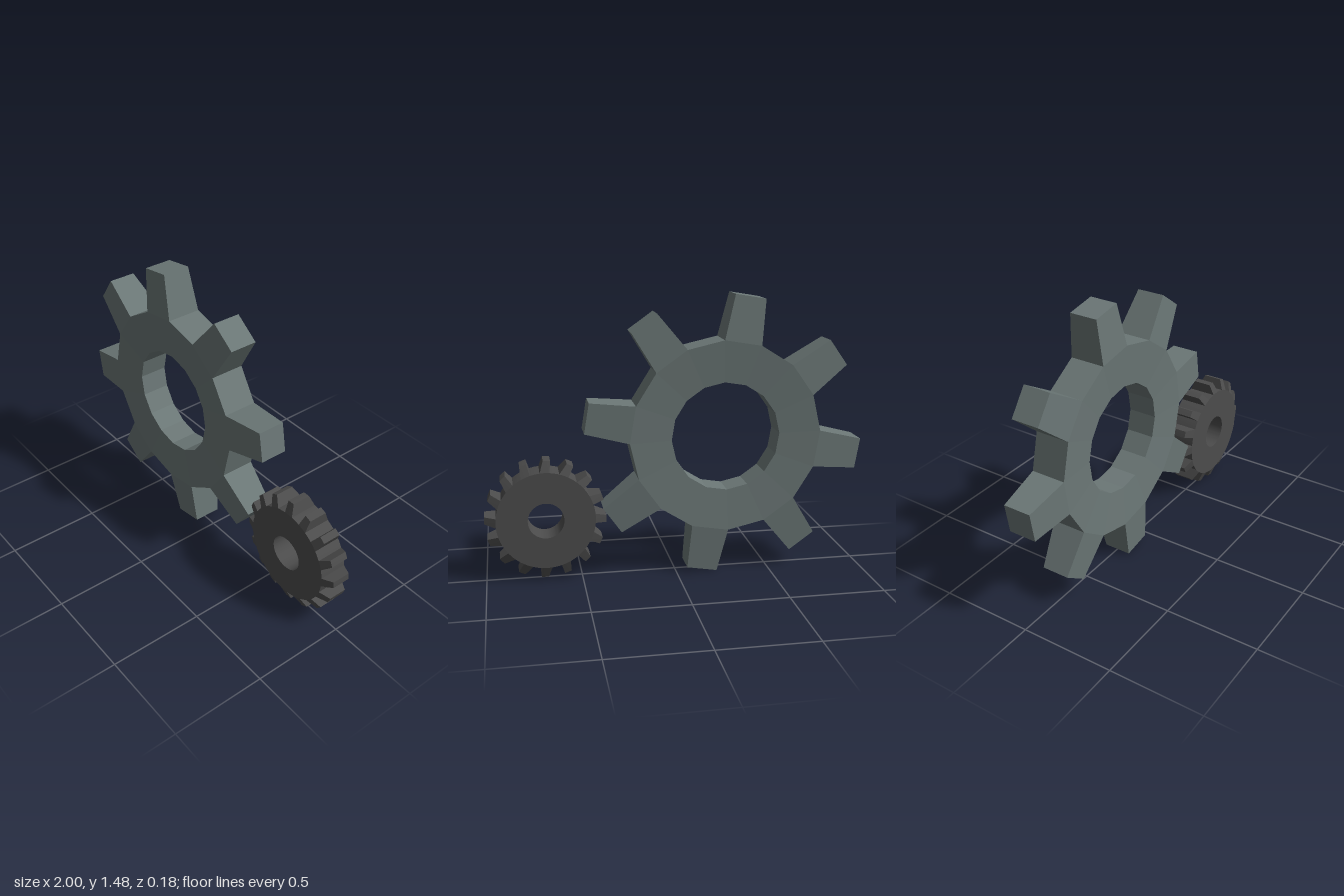
import * as THREE from 'three';
import { toCreasedNormals } from 'three/addons/utils/BufferGeometryUtils.js';

const RAD = Math.PI / 180;

// Ring with a bore and tapered teeth; each tooth takes half a pitch at its root.
// hole, root, tip are [radius, half depth]; angles are in degrees.
function gearGeometry({ teeth, phase, hole, root, tip, tipHalfAngle, skew = 0, sub = 1 }) {
  const pos = [];
  const point = ([r, z], deg, side) => [r * Math.cos(deg * RAD), r * Math.sin(deg * RAD), z * side];
  const quad = (a, b, c, d) => pos.push(...a, ...b, ...c, ...a, ...c, ...d);
  // front and back faces between two radii
  const faces = (inner, outer, ia, ib, oa, ob) => {
    quad(point(inner, ia, 1), point(outer, oa, 1), point(outer, ob, 1), point(inner, ib, 1));
    quad(point(inner, ib, -1), point(outer, ob, -1), point(outer, oa, -1), point(inner, ia, -1));
  };
  // wall facing outward when a < b, inward when a > b
  const wall = (ring, a, b) =>
    quad(point(ring, a, -1), point(ring, b, -1), point(ring, b, 1), point(ring, a, 1));

  const half = 180 / teeth;
  for (let i = 0; i < teeth * 2; i++) {
    const centre = phase + i * half;
    const isTooth = i % 2 === 0;
    for (let j = 0; j < sub; j++) {
      const u = (j / sub) * 2 - 1, v = ((j + 1) / sub) * 2 - 1;
      const a = centre + u * half / 2, b = centre + v * half / 2;
      faces(hole, root, a, b, a, b);
      wall(hole, b, a);
      if (!isTooth) { wall(root, a, b); continue; }
      const ta = centre + skew + u * tipHalfAngle, tb = centre + skew + v * tipHalfAngle;
      faces(root, tip, a, b, ta, tb);
      wall(tip, ta, tb);
    }
    if (!isTooth) continue;
    // tooth flanks
    const a = centre - half / 2, b = centre + half / 2;
    const ta = centre + skew - tipHalfAngle, tb = centre + skew + tipHalfAngle;
    quad(point(root, a, -1), point(tip, ta, -1), point(tip, ta, 1), point(root, a, 1));
    quad(point(root, b, 1), point(tip, tb, 1), point(tip, tb, -1), point(root, b, -1));
  }
  const geometry = new THREE.BufferGeometry();
  geometry.setAttribute('position', new THREE.Float32BufferAttribute(pos, 3));
  geometry.computeVertexNormals();
  return geometry;
}

export function createModel() {
  const model = new THREE.Group();
  model.name = 'gearPair';

  // large faceted gear, slightly dished towards the bore
  const large = new THREE.Mesh(
    gearGeometry({
      teeth: 8, phase: 9.6,
      hole: [0.288, 0.077], root: [0.508, 0.092], tip: [0.741, 0.074],
      tipHalfAngle: 6.3,
    }),
    new THREE.MeshStandardMaterial({ color: 0x6b7776, flatShading: true })
  );
  large.name = 'largeGear';
  large.position.set(-0.26, 0.74, 0);

  // small gear with a round bore and slightly skewed teeth
  const small = new THREE.Mesh(
    toCreasedNormals(gearGeometry({
      teeth: 16, phase: 0,
      hole: [0.094, 0.075], root: [0.257, 0.075], tip: [0.315, 0.05],
      tipHalfAngle: 3.4, skew: 2.2, sub: 2,
    }), 0.12),
    new THREE.MeshStandardMaterial({ color: 0x4c4c4c })
  );
  small.name = 'smallGear';
  small.position.set(0.685, 0.333, 0);

  model.add(large, small);
  return model;
}
